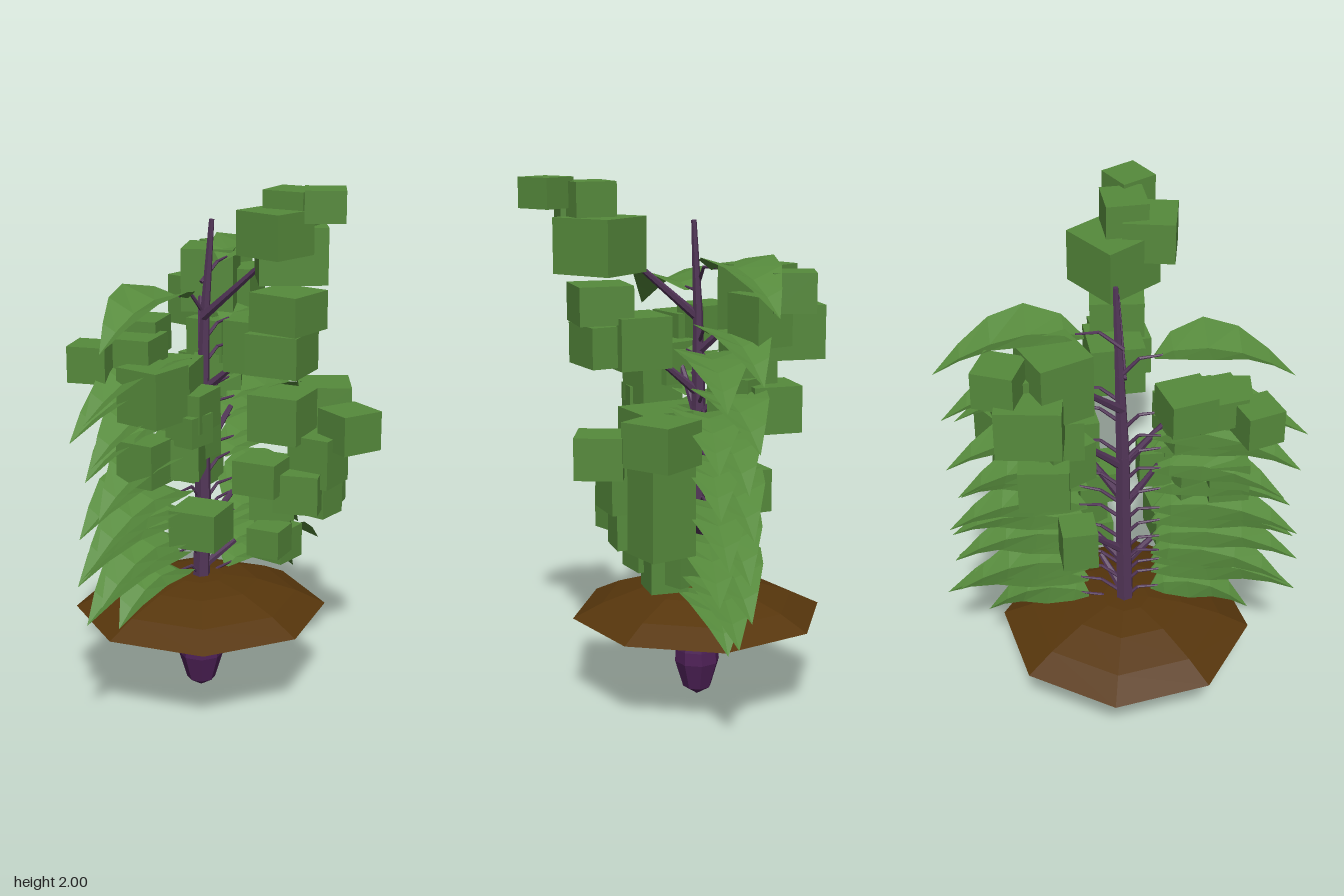
import * as THREE from 'three';

const mat = (name, color, side = THREE.FrontSide) => {
  const m = new THREE.MeshStandardMaterial({ color, side, flatShading: true });
  m.name = name;
  return m;
};

export function createModel() {
  const model = new THREE.Group();
  const green = mat('leaf green', 0x568a3c, THREE.DoubleSide);
  const soil = mat('soil brown', 0x57360c, THREE.DoubleSide);
  const bark = mat('bark purple', 0x523558);
  const rootPurple = mat('root purple', 0x4f2158);
  const CX = -0.023, CZ = -0.085;

  const add = (name, geometry, material, parent = model) => {
    const mesh = new THREE.Mesh(geometry, material);
    mesh.name = name;
    parent.add(mesh);
    return mesh;
  };
  const group = (name) => {
    const g = new THREE.Group();
    g.name = name;
    model.add(g);
    return g;
  };
  const turned = (name, pts, material) => {
    const g = new THREE.LatheGeometry(pts.map((p) => new THREE.Vector2(...p)), 8);
    add(name, g, material).position.set(CX, 0, CZ);
  };

  // soil mound, open underneath, with stepped rings inside
  turned('soilMound', [[0.483, 0.34], [0.37, 0.395], [0.22, 0.445], [0.09, 0.465], [0, 0.468]], soil);
  turned('soilInnerRing', [[0.29, 0.40], [0.22, 0.39], [0.2, 0.425], [0.13, 0.415], [0.1, 0.45]], soil);

  // tuber below the soil
  turned('root', [[0, 0], [0.055, 0.035], [0.087, 0.14], [0.085, 0.19], [0.058, 0.345], [0.025, 0.37], [0, 0.39]], rootPurple);

  // tapered limb between two points
  const branches = group('branches');
  const limb = (name, a, b, r0, r1, parent = branches) => {
    const from = new THREE.Vector3(...a), dir = new THREE.Vector3(...b).sub(from);
    const m = add(name, new THREE.CylinderGeometry(r1, r0, dir.length(), 6), bark, parent);
    m.position.copy(from).addScaledVector(dir, 0.5);
    m.quaternion.setFromUnitVectors(new THREE.Vector3(0, 1, 0), dir.normalize());
  };

  // trunk, bending slightly
  const trunkPts = [[CX, 0.36, CZ], [-0.015, 0.75, -0.08], [-0.012, 1.15, -0.085], [0.0, 1.5, -0.08], [0.015, 1.84, -0.06]];
  const trunkR = [0.034, 0.032, 0.027, 0.018, 0.01];
  const trunk = group('trunk');
  for (let i = 0; i < 4; i++) limb('trunkSection', trunkPts[i], trunkPts[i + 1], trunkR[i], trunkR[i + 1], trunk);

  // forked boughs: start height, end x, y, z
  [
    [1.48, 0.03, 1.70, 0.17], [1.2, 0.02, 1.33, 0.07], [0.95, 0.12, 1.12, -0.06],
    [1.1, 0.13, 1.28, -0.2], [1.35, 0.12, 1.52, -0.22], [0.9, -0.14, 1.1, -0.06],
    [1.1, -0.16, 1.28, -0.05], [0.65, 0.12, 0.78, -0.05], [0.62, -0.14, 0.75, -0.03],
    [0.5, 0.08, 0.6, 0.0], [0.7, 0.09, 0.83, -0.17],
  ].forEach(([y0, x, y, z]) => limb('bough', [-0.01, y0, -0.082], [x, y, z], 0.018, 0.01));

  // drooping blade with a V fold: along, rise, half width, edge lift
  const STATIONS = [
    [0, 0, 0.012, 0], [0.07, 0.022, 0.09, 0.022], [0.2, 0.025, 0.14, 0.042],
    [0.33, -0.003, 0.108, 0.045], [0.44, -0.05, 0.055, 0.025], [0.54, -0.11, 0, 0],
  ];
  const leafGeometry = () => {
    const pos = [], idx = [];
    STATIONS.forEach(([x, y, w, lift]) => pos.push(x, y + lift, -w, x, y, 0, x, y + lift, w));
    for (let i = 0; i < STATIONS.length - 1; i++) {
      for (let j = 0; j < 2; j++) {
        const a = i * 3 + j, b = a + 3;
        idx.push(a, a + 1, b, b, a + 1, b + 1);
      }
    }
    const g = new THREE.BufferGeometry();
    g.setAttribute('position', new THREE.Float32BufferAttribute(pos, 3));
    g.setIndex(idx);
    g.computeVertexNormals();
    return g;
  };
  const blade = leafGeometry();

  // leaf rows: tip x, tip y, tip z for each side
  const leaves = group('leaves');
  const rows = {
    '1': [[0.635, 1.56, -0.22], [0.63, 1.33, -0.17], [0.61, 1.24, -0.05], [0.63, 1.10, -0.16], [0.62, 1.03, -0.02],
      [0.6, 0.95, -0.13], [0.61, 0.87, -0.03], [0.64, 0.8, -0.14], [0.65, 0.7, -0.05], [0.63, 0.64, -0.13],
      [0.64, 0.57, -0.02], [0.62, 0.5, -0.14], [0.68, 0.43, -0.08], [0.52, 0.35, -0.08]],
    '-1': [[-0.62, 1.46, 0.02], [-0.68, 1.22, 0.0], [-0.66, 1.13, -0.1], [-0.65, 1.06, 0.0], [-0.61, 0.98, -0.08],
      [-0.64, 0.87, 0.02], [-0.67, 0.79, -0.05], [-0.66, 0.72, 0.02], [-0.68, 0.65, -0.03], [-0.64, 0.59, -0.1],
      [-0.62, 0.53, 0.0], [-0.68, 0.48, -0.01], [-0.5, 0.4, -0.04]],
  };
  for (const side of [1, -1]) {
    rows[side].forEach(([x, y, z]) => {
      const bx = side * 0.12, bz = CZ + (z - CZ) * 0.2, by = y + 0.11;
      const len = Math.hypot(x - bx, z - bz);
      const leaf = add('leaf', blade, green, leaves);
      leaf.position.set(bx, by, bz);
      leaf.rotation.y = Math.atan2(-(z - bz), x - bx);
      leaf.scale.x = len / 0.54;
      // stalk with an elbow
      limb('stalk', [-0.015, by - 0.06, CZ], [side * 0.07, by + 0.005, CZ], 0.008, 0.006);
      limb('stalk', [side * 0.07, by + 0.005, CZ], [bx + side * 0.03, by + 0.01, bz], 0.006, 0.004);
    });
  }

  // block foliage: x, y, z, width, height, turn
  const clump = (name, blocks) => {
    const g = group(name);
    blocks.forEach(([x, y, z, w, h, turn]) => {
      const m = add('foliageBlock', new THREE.BoxGeometry(w, h, w), green, g);
      m.position.set(x, y, z);
      m.rotation.y = turn;
    });
  };
  clump('crownFoliage', [
    [0.01, 1.945, 0.475, 0.14, 0.11, 0.7], [-0.08, 1.845, 0.33, 0.19, 0.155, 0],
    [0.015, 1.92, 0.325, 0.155, 0.13, 0.25], [0.05, 1.76, 0.29, 0.24, 0.2, 0.8],
    [0.04, 1.55, 0.29, 0.2, 0.14, 0.1], [0.03, 1.4, 0.27, 0.2, 0.15, 0.3],
    [0.04, 1.41, 0.16, 0.2, 0.19, 0.25],
  ]);
  clump('rightBackFoliage', [
    [0.285, 1.475, -0.33, 0.23, 0.19, 0.05], [0.385, 1.62, -0.335, 0.15, 0.14, -0.2],
    [0.21, 1.58, -0.25, 0.2, 0.24, 0.6], [0.34, 1.52, -0.24, 0.18, 0.18, 0.4],
    [0.2, 1.35, -0.22, 0.16, 0.16, 0.2], [0.25, 1.19, -0.29, 0.18, 0.17, 0.1],
    [0.2, 1.22, -0.2, 0.18, 0.16, 0.7], [0.14, 0.86, -0.24, 0.13, 0.16, 0.25],
  ]);
  clump('rightFrontFoliage', [
    [0.43, 1.11, 0.14, 0.2, 0.16, 0.75], [0.34, 1.06, 0.34, 0.17, 0.15, -0.25],
    [0.21, 1.1, 0.12, 0.2, 0.18, 0.3], [0.4, 0.87, 0.14, 0.18, 0.33, 0.4],
    [0.28, 0.94, 0.24, 0.17, 0.19, 0.2], [0.2, 0.83, 0.22, 0.17, 0.15, 0.5],
    [0.1, 0.89, 0.12, 0.17, 0.13, 0.3], [0.3, 0.78, 0.23, 0.13, 0.13, 0.1],
    [0.18, 0.78, 0.1, 0.17, 0.14, 0.7], [0.12, 0.63, 0.14, 0.13, 0.11, 0.3],
    [0.22, 0.585, 0.09, 0.14, 0.13, 0.1], [0.26, 0.62, 0.04, 0.14, 0.13, 0.6],
  ]);
  clump('leftFoliage', [
    [-0.49, 1.385, -0.16, 0.14, 0.13, 0.5], [-0.34, 1.41, -0.1, 0.18, 0.11, 0.4],
    [-0.24, 1.44, -0.17, 0.17, 0.13, 0.45], [-0.38, 1.28, 0.03, 0.18, 0.2, 0.1],
    [-0.24, 1.29, -0.02, 0.19, 0.16, 0.5], [-0.22, 1.2, 0.05, 0.17, 0.14, 0.3],
    [-0.39, 1.03, 0.0, 0.15, 0.16, 0.2], [-0.26, 1.14, 0.09, 0.12, 0.11, 0.1],
    [-0.25, 1.03, 0.03, 0.17, 0.15, 0.6], [-0.12, 1.07, 0.0, 0.12, 0.15, 0.2],
    [-0.19, 0.755, 0.08, 0.18, 0.14, 0.35],
  ]);

  return model;
}
